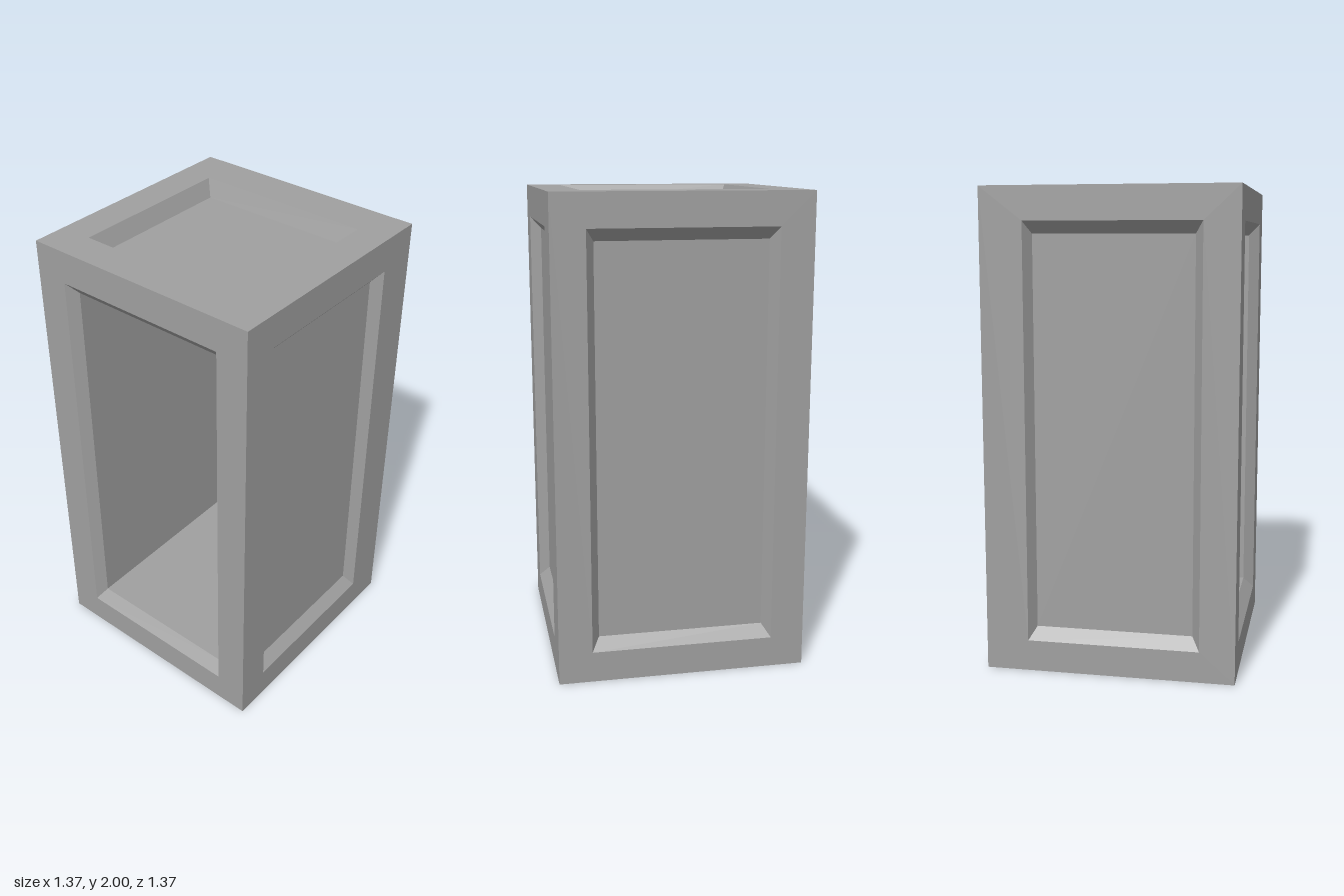
import * as THREE from 'three';

// Each box is [min, max] per axis x, y, z
const OUTER = [[-0.523, 0.523], [0, 2], [-0.523, 0.523]];
const PANEL = [[-0.383, 0.383], [0.13, 1.862], [-0.345, 0.376]];
const INNER = [[-0.35, 0.35], [0.18, 1.812], [-0.316, 0.342]];
const LOOP = [[-1, -1], [1, -1], [1, 1], [-1, 1]];

// Four corners of a rectangle on the side facing +/- axis n, at position pos
function rectangle(box, side, pos) {
  return LOOP.map(([s, t]) => {
    const p = [0, 0, 0];
    p[side.n] = pos;
    p[side.a] = box[side.a][s * side.sa > 0 ? 1 : 0];
    p[side.b] = box[side.b][t * side.sb > 0 ? 1 : 0];
    return p;
  });
}

// Flat faces from a list of four-cornered polygons
function quads(list) {
  const pos = [];
  for (const [a, b, c, d] of list) pos.push(...a, ...b, ...c, ...a, ...c, ...d);
  const geo = new THREE.BufferGeometry();
  geo.setAttribute('position', new THREE.Float32BufferAttribute(pos, 3));
  geo.computeVertexNormals();
  return geo;
}

// Ring of four faces joining two rectangles
const ring = (from, to) => from.map((p, i) => {
  const j = (i + 1) % 4;
  return [p, from[j], to[j], to[i]];
});

export function createModel() {
  const grey = new THREE.MeshStandardMaterial({ color: 0xa0a0a0 });
  grey.name = 'grey';
  const model = new THREE.Group();
  model.name = 'panelledCabinet';

  // n: facing axis, a / b: across and up, with their signs
  const sides = [
    { name: 'front', n: 2, sn: 1, a: 0, sa: 1, b: 1, sb: 1, open: true },
    { name: 'back', n: 2, sn: -1, a: 0, sa: -1, b: 1, sb: 1 },
    { name: 'left', n: 0, sn: 1, a: 2, sa: -1, b: 1, sb: 1 },
    { name: 'right', n: 0, sn: -1, a: 2, sa: 1, b: 1, sb: 1 },
    { name: 'top', n: 1, sn: 1, a: 0, sa: 1, b: 2, sb: -1 },
    { name: 'bottom', n: 1, sn: -1, a: 0, sa: 1, b: 2, sb: 1 },
  ];

  for (const side of sides) {
    const group = new THREE.Group();
    group.name = side.name + 'Side';
    const add = (name, faces) => {
      const mesh = new THREE.Mesh(quads(faces), grey);
      mesh.name = side.name + name;
      group.add(mesh);
    };
    const face = OUTER[side.n][side.sn > 0 ? 1 : 0];
    const sunk = face - side.sn * (side.n === 1 ? 0.07 : 0.045);
    const edge = rectangle(OUTER, side, face);
    const rim = rectangle(PANEL, side, face);
    const inset = rectangle(INNER, side, sunk);

    add('Frame', ring(edge, rim));
    add('Bevel', ring(rim, inset));
    if (side.open) {
      // Hollow compartment behind the doorway
      const rear = rectangle(INNER, side, -0.432);
      add('CompartmentWalls', ring(inset, rear));
      add('CompartmentBack', [rear]);
    } else {
      add('Panel', [inset]);
    }
    model.add(group);
  }

  // The cabinet stands turned on its base
  model.rotation.y = -0.406;
  return model;
}
